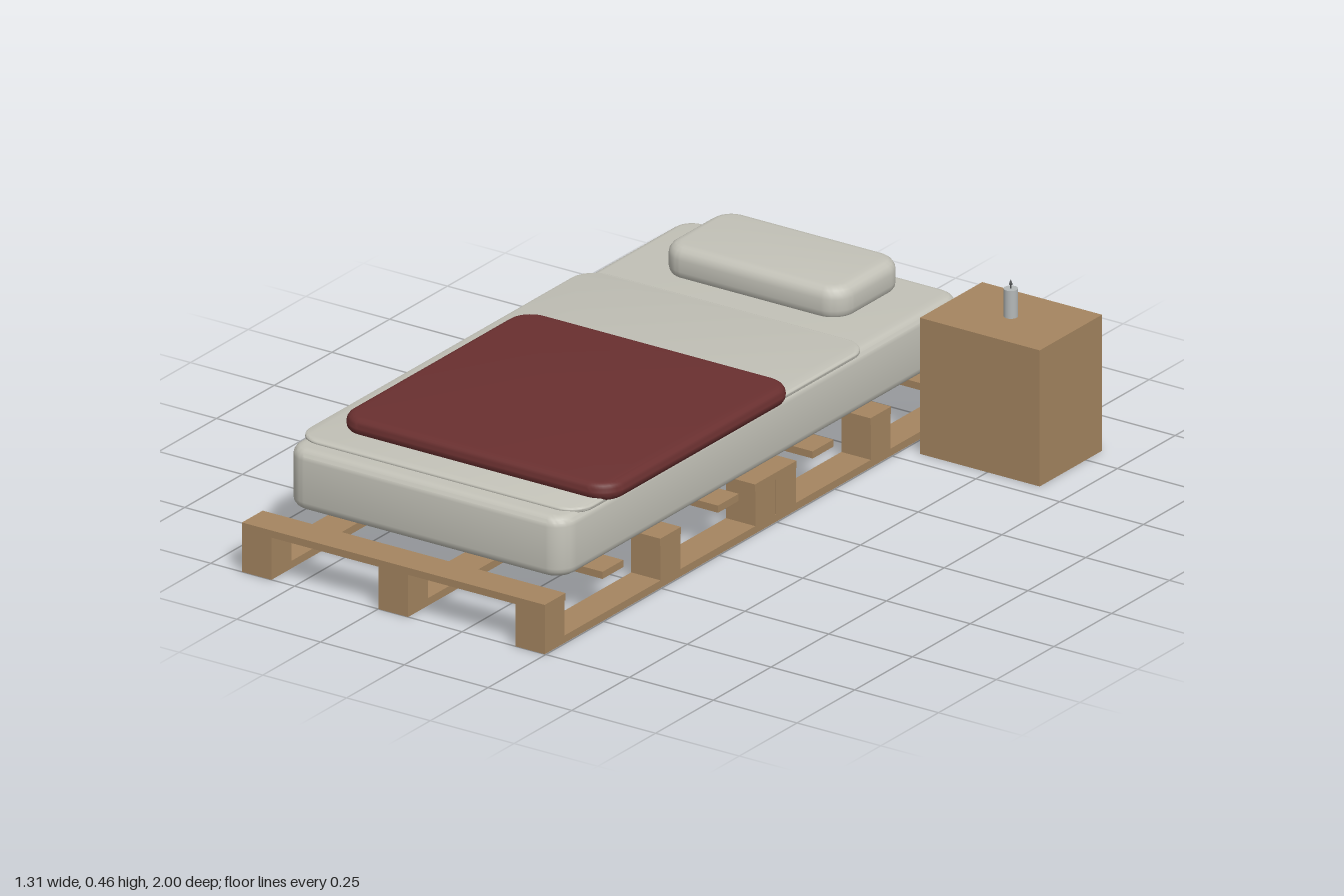
import * as THREE from 'three';
import { toCreasedNormals } from 'three/addons/utils/BufferGeometryUtils.js';

const material = (name, color) => {
  const m = new THREE.MeshStandardMaterial({ color });
  m.name = name;
  return m;
};

// Soft slab: rounded corners in plan, rounded edges in section
function softSlab(x0, x1, y0, y1, z0, z1, corner, edge) {
  const w = (x1 - x0) / 2 - edge, d = (z1 - z0) / 2 - edge, r = corner - edge;
  const s = new THREE.Shape();
  s.moveTo(-w + r, -d);
  s.lineTo(w - r, -d);
  s.absarc(w - r, -d + r, r, -Math.PI / 2, 0);
  s.lineTo(w, d - r);
  s.absarc(w - r, d - r, r, 0, Math.PI / 2);
  s.lineTo(-w + r, d);
  s.absarc(-w + r, d - r, r, Math.PI / 2, Math.PI);
  s.lineTo(-w, -d + r);
  s.absarc(-w + r, -d + r, r, Math.PI, Math.PI * 1.5);
  const bevel = Math.min(edge, (y1 - y0) / 2 - 0.001);
  const g = new THREE.ExtrudeGeometry(s, {
    depth: y1 - y0 - 2 * bevel, bevelEnabled: true, bevelThickness: bevel,
    bevelSize: edge, bevelSegments: 4, curveSegments: 6,
  });
  g.rotateX(-Math.PI / 2);
  g.translate((x0 + x1) / 2, y0 + bevel, (z0 + z1) / 2);
  return toCreasedNormals(g, 0.7);
}

export function createModel() {
  const model = new THREE.Group();
  model.name = 'palletBed';
  const wood = material('wood', 0xa58560);
  const linen = material('linen', 0xc3c2b8);
  const red = material('blanketRed', 0x6a3030);
  const wax = material('candleGrey', 0xb4b8b8);
  const dark = material('wickDark', 0x55585a);

  const add = (parent, name, geometry, mat) => {
    const mesh = new THREE.Mesh(geometry, mat);
    mesh.name = name;
    parent.add(mesh);
    return mesh;
  };
  const box = (parent, name, mat, x0, x1, y0, y1, z0, z1) =>
    add(parent, name, new THREE.BoxGeometry(x1 - x0, y1 - y0, z1 - z0), mat)
      .position.set((x0 + x1) / 2, (y0 + y1) / 2, (z0 + z1) / 2);

  // Two mirrored pallets, end to end
  for (const side of [-1, 1]) {
    const pallet = new THREE.Group();
    pallet.name = side > 0 ? 'frontPallet' : 'backPallet';
    model.add(pallet);
    for (const x of [-0.613, -0.205, 0.203]) {
      box(pallet, 'runner', wood, x - 0.044, x + 0.044, 0, 0.02, side > 0 ? 0 : -1, side > 0 ? 1 : 0);
      for (const z of [0.045, 0.455, 0.957])
        box(pallet, 'block', wood, x - 0.044, x + 0.044, 0.02, 0.113, side * z - 0.043, side * z + 0.043);
    }
    for (const z of [0.045, 0.205, 0.455, 0.705, 0.955])
      box(pallet, 'slat', wood, -0.657, 0.247, 0.113, 0.132, side * z - 0.045, side * z + 0.045);
  }

  // Bedding
  add(model, 'mattress', softSlab(-0.623, 0.21, 0.136, 0.297, -0.872, 0.868, 0.06, 0.025), linen);
  add(model, 'sheet', softSlab(-0.631, 0.217, 0.29, 0.305, -0.457, 0.812, 0.07, 0.008), linen);
  add(model, 'blanket', softSlab(-0.57, 0.247, 0.295, 0.343, -0.092, 0.722, 0.07, 0.022), red);
  add(model, 'pillow', softSlab(-0.478, 0.064, 0.285, 0.375, -0.83, -0.543, 0.065, 0.03), linen);

  // Bedside box with a candle
  box(model, 'nightstand', wood, 0.298, 0.656, 0, 0.364, -0.82, -0.55);
  const candle = new THREE.Group();
  candle.name = 'candle';
  candle.position.set(0.476, 0.364, -0.686);
  model.add(candle);
  add(candle, 'wax', new THREE.CylinderGeometry(0.018, 0.018, 0.074, 20), wax).position.y = 0.037;
  add(candle, 'wick', new THREE.CylinderGeometry(0.002, 0.002, 0.014, 8), dark).position.y = 0.08;
  const flame = [[0, 0.08], [0.0045, 0.085], [0.003, 0.091], [0, 0.098]].map(p => new THREE.Vector2(...p));
  add(candle, 'flame', new THREE.LatheGeometry(flame, 10), dark);

  return model;
}
